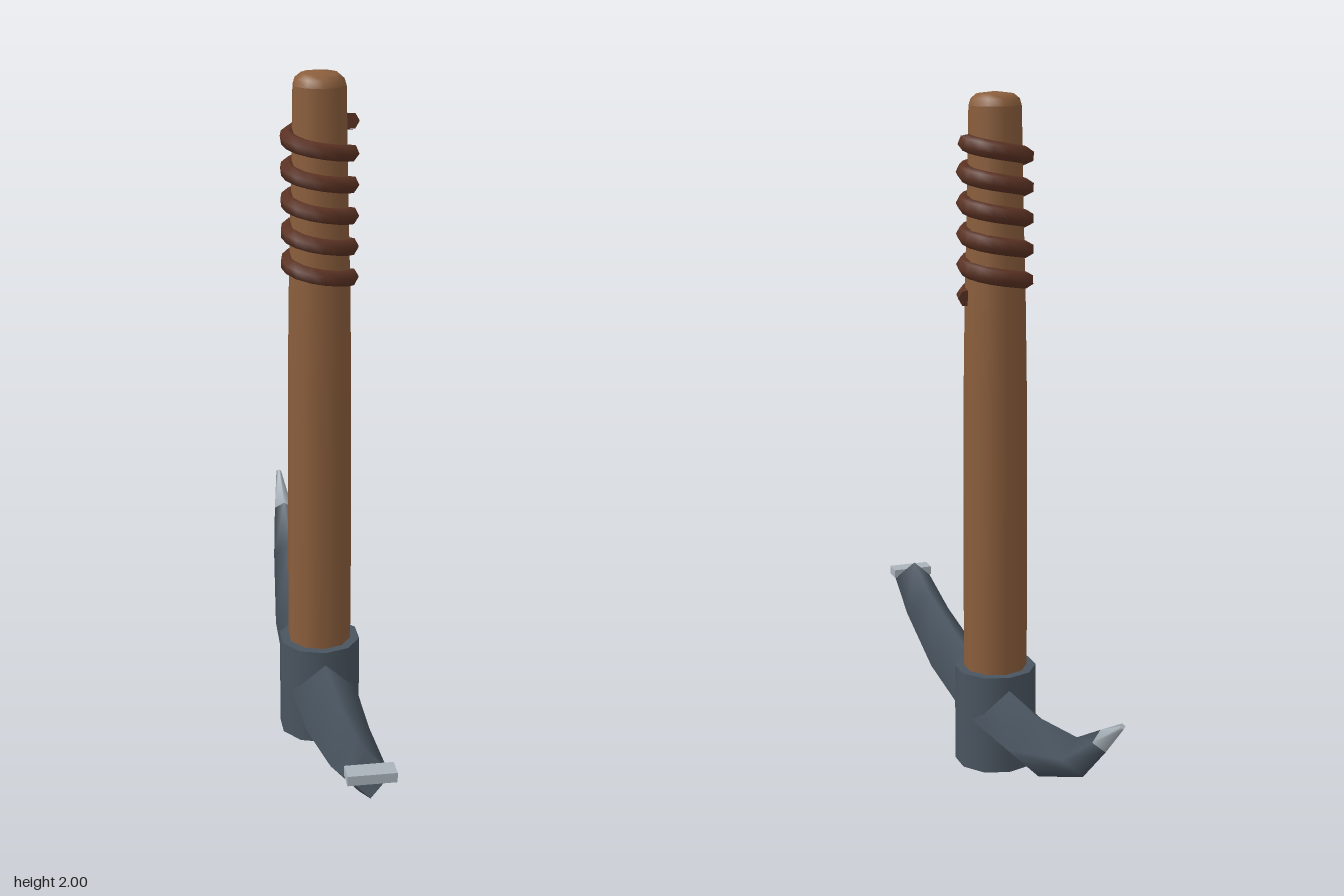
import * as THREE from 'three';

const AXIS_Z = 0.027; // the handle sits slightly forward of centre

// Tapered diamond-section bar. Each station is [z, y, radius], running front to back.
function diamondBar(stations) {
  const pos = [], idx = [], sides = 4;
  const addRing = (i) => {
    const [z, y, r] = stations[i];
    const p = stations[Math.max(i - 1, 0)], n = stations[Math.min(i + 1, stations.length - 1)];
    const len = Math.hypot(n[0] - p[0], n[1] - p[1]);
    const tz = (n[0] - p[0]) / len, ty = (n[1] - p[1]) / len;
    const first = pos.length / 3;
    for (let k = 0; k < sides; k++) {
      const a = (k / sides) * Math.PI * 2, up = r * Math.sin(a);
      pos.push(r * Math.cos(a), y - up * tz, z + up * ty);
    }
    return first;
  };
  const rings = stations.map((_, i) => addRing(i));
  for (let i = 0; i < rings.length - 1; i++) {
    for (let k = 0; k < sides; k++) {
      const n = (k + 1) % sides;
      const a = rings[i] + k, b = rings[i] + n, c = rings[i + 1] + k, d = rings[i + 1] + n;
      idx.push(a, c, b, b, c, d);
    }
  }
  // end caps with their own vertices, so their edges stay sharp
  const s = addRing(0), e = addRing(stations.length - 1);
  idx.push(s, s + 1, s + 2, s, s + 2, s + 3, e, e + 2, e + 1, e, e + 3, e + 2);
  const g = new THREE.BufferGeometry();
  g.setAttribute('position', new THREE.Float32BufferAttribute(pos, 3));
  g.setIndex(idx);
  g.computeVertexNormals();
  return g;
}

// Rising coil around the handle
class Helix extends THREE.Curve {
  constructor(radius, y0, y1, turns) {
    super();
    Object.assign(this, { radius, y0, y1, turns });
  }
  getPoint(t, target = new THREE.Vector3()) {
    const a = t * this.turns * Math.PI * 2;
    return target.set(this.radius * Math.cos(a), this.y0 + (this.y1 - this.y0) * t, this.radius * Math.sin(a));
  }
}

export function createModel() {
  const group = new THREE.Group();
  const mat = (name, color) => {
    const m = new THREE.MeshStandardMaterial({ color });
    m.name = name;
    return m;
  };
  const wood = mat('wood', 0x8b5e3c);
  const leather = mat('leather', 0x5c3324);
  const iron = mat('iron', 0x4a5560);
  const steel = mat('steel', 0xaab4bb);

  const add = (name, geometry, material, x = 0, y = 0, z = 0) => {
    const mesh = new THREE.Mesh(geometry, material);
    mesh.name = name;
    mesh.position.set(x, y, z);
    group.add(mesh);
    return mesh;
  };
  const lathe = (pts) => new THREE.LatheGeometry(pts.map(([r, y]) => new THREE.Vector2(r, y)), 10);

  // Handle with a gentle taper and a rounded end
  add('handle', lathe([[0.094, 0.02], [0.095, 0.65], [0.092, 1.15], [0.088, 1.4], [0.08, 1.7], [0.075, 1.96]]), wood, 0, 0, AXIS_Z);
  add('handleEnd', lathe([[0.075, 1.96], [0.069, 1.98], [0.052, 1.994], [0, 2]]), wood, 0, 0, AXIS_Z);

  // Grip wrap with closed ends
  const coil = new Helix(0.087, 1.42, 1.86, 5);
  add('gripWrap', new THREE.TubeGeometry(coil, 80, 0.025, 6, false), leather, 0, 0, AXIS_Z);
  for (const t of [0, 1]) {
    const p = coil.getPoint(t);
    const cap = add('gripWrapEnd', new THREE.CircleGeometry(0.025, 6), leather, p.x, p.y, p.z + AXIS_Z);
    if (t === 0) cap.rotation.y = Math.PI;
  }

  // Head: socket, curved arms, pointed tip and chisel edge
  add('socket', new THREE.CylinderGeometry(0.122, 0.122, 0.3, 10), iron, 0, 0.15, AXIS_Z);
  add('headArms', diamondBar([
    [0.871, 0.32, 0.061], [0.70, 0.25, 0.073], [0.386, 0.177, 0.089], [0.03, 0.155, 0.101],
    [-0.32, 0.177, 0.089], [-0.638, 0.275, 0.053], [-0.79, 0.383, 0.03],
  ]), iron);
  add('pickTip', diamondBar([[-0.79, 0.383, 0.03], [-0.912, 0.472, 0.008]]), steel);
  add('chiselEdge', new THREE.BoxGeometry(0.13, 0.027, 0.055), steel, 0, 0.336, 0.894);

  return group;
}
